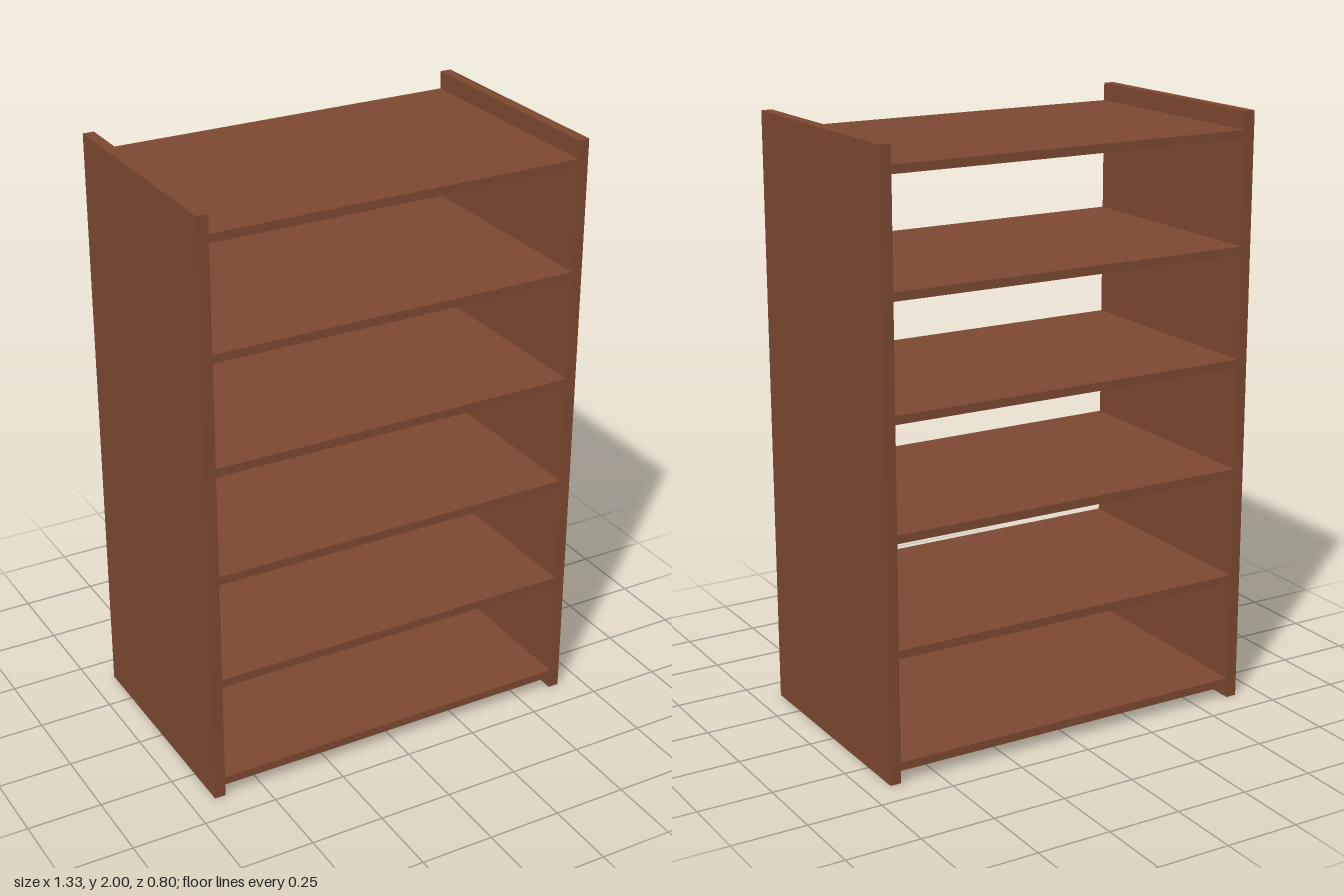
import * as THREE from 'three';

export function createModel() {
  const group = new THREE.Group();
  const wood = new THREE.MeshStandardMaterial({ color: 0x7b4830 });

  const height = 2, depth = 0.8, width = 1.333;
  const panel = 0.037, board = 0.028;
  const shelfCount = 6, firstShelf = 0.056, shelfStep = 0.374;

  const addBoard = (name, w, h, x, y) => {
    const mesh = new THREE.Mesh(new THREE.BoxGeometry(w, h, depth), wood);
    mesh.name = name;
    mesh.position.set(x, y, 0);
    group.add(mesh);
  };

  // Upright side panels
  const panelX = (width - panel) / 2;
  addBoard('leftSidePanel', panel, height, panelX, height / 2);
  addBoard('rightSidePanel', panel, height, -panelX, height / 2);

  // Evenly spaced shelves between the panels
  for (let i = 0; i < shelfCount; i++) {
    addBoard(`shelf${i + 1}`, width - 2 * panel, board, 0, firstShelf + i * shelfStep);
  }

  return group;
}
